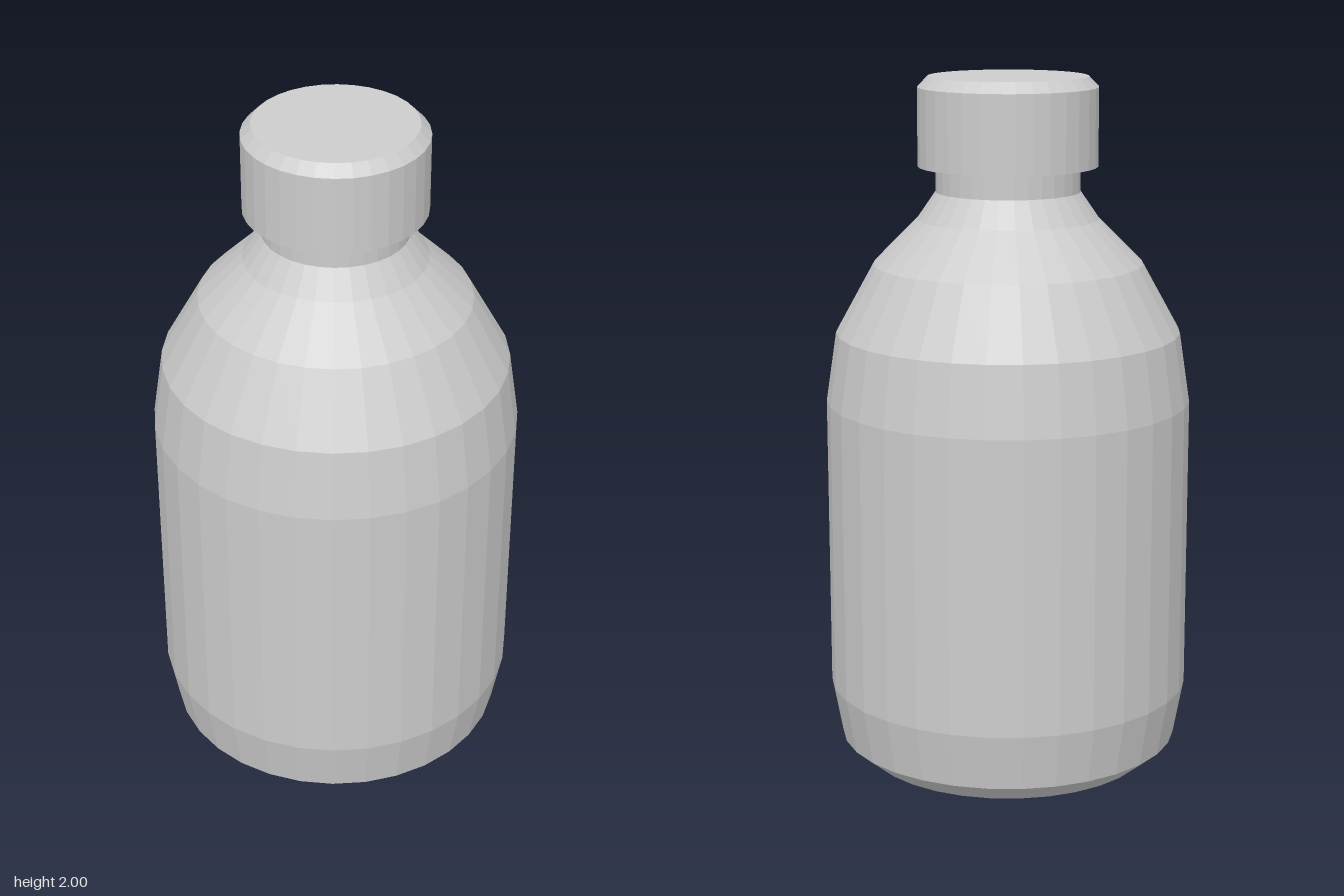
import * as THREE from 'three';

const SIDES = 32;

// Turns a [radius, height] profile, listed from bottom to top, into a faceted solid
function turned(name, profile, material) {
  const points = profile.map(([r, y]) => new THREE.Vector2(r, y));
  const mesh = new THREE.Mesh(new THREE.LatheGeometry(points, SIDES), material);
  mesh.name = name;
  return mesh;
}

export function createModel() {
  const group = new THREE.Group();
  group.name = 'bottle';
  const grey = new THREE.MeshStandardMaterial({ color: 0xcccccc, flatShading: true });
  grey.name = 'light grey';

  // Base, straight wall, rounded shoulder and neck
  group.add(turned('bottleBody', [
    [0, 0], [0.423, 0], [0.496, 0.06], [0.526, 0.224], [0.526, 1.073],
    [0.496, 1.273], [0.387, 1.47], [0.26, 1.598], [0.207, 1.675], [0.207, 1.747],
  ], grey));

  // Screw cap with a bevelled top edge and an open underside around the neck
  group.add(turned('cap', [
    [0.207, 1.747], [0.257, 1.747], [0.257, 1.97], [0.228, 2], [0, 2],
  ], grey));

  return group;
}
